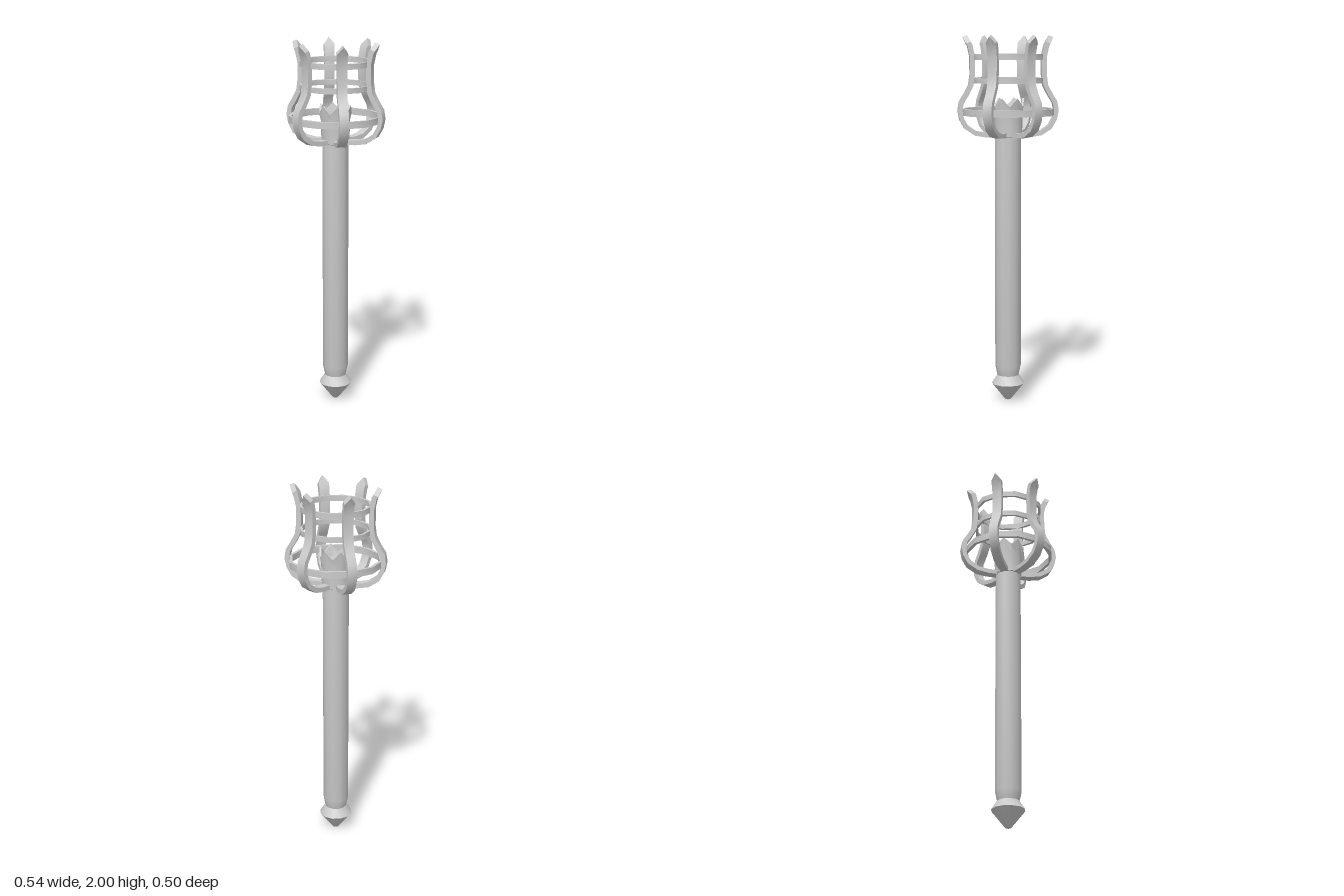
import * as THREE from 'three';
import { toCreasedNormals } from 'three/addons/utils/BufferGeometryUtils.js';

const material = new THREE.MeshStandardMaterial({ color: 0xcccccc });
const SIDES = 12;

function addMesh(parent, name, geometry, crease = 0.6) {
  const mesh = new THREE.Mesh(toCreasedNormals(geometry, crease), material);
  mesh.name = name;
  parent.add(mesh);
  return mesh;
}

function lathe(points) {
  return new THREE.LatheGeometry(points.map(([r, y]) => new THREE.Vector2(r, y)), SIDES);
}

// Flat band with a rectangular section
function band(radius, thickness, y, height) {
  const a = radius - thickness, b = y - height / 2, t = y + height / 2;
  return lathe([[a, b], [radius, b], [radius, t], [a, t], [a, b]]);
}

// Cup on top of the shaft, its rim cut into six points
function cupGeometry() {
  const rim = 1.665, valley = 1.62;
  const geometry = lathe([[0.068, 1.455], [0.076, 1.46], [0.079, 1.58], [0.088, rim],
    [0.077, rim], [0.068, 1.6], [0, 1.6]]);
  const p = geometry.attributes.position;
  for (let i = 0; i < p.count; i++) {
    if (p.getY(i) < rim - 0.001) continue;
    const step = Math.round(Math.atan2(p.getZ(i), p.getX(i)) / (Math.PI / 6));
    if (step % 2 !== 0) p.setY(i, valley);
  }
  return geometry;
}

// Curved prong: [outer radius, outer y, inner radius, inner y, half width]
const PRONG = [
  [0.06, 1.455, 0.06, 1.48, 0.021],
  [0.12, 1.456, 0.12, 1.481, 0.023],
  [0.18, 1.466, 0.172, 1.49, 0.025],
  [0.235, 1.502, 0.217, 1.52, 0.025],
  [0.262, 1.55, 0.239, 1.558, 0.025],
  [0.272, 1.6, 0.247, 1.6, 0.025],
  [0.264, 1.648, 0.24, 1.638, 0.025],
  [0.238, 1.69, 0.214, 1.68, 0.025],
  [0.214, 1.735, 0.188, 1.73, 0.026],
  [0.206, 1.79, 0.18, 1.79, 0.026],
  [0.206, 1.885, 0.18, 1.89, 0.027],
  [0.218, 1.94, 0.193, 1.95, 0.028],
  [0.226, 1.955, 0.201, 1.965, 0.028],
];

function prongGeometry() {
  const n = PRONG.length - 1;
  const geometry = new THREE.BoxGeometry(1, 1, 1, 1, n, 2);
  const p = geometry.attributes.position;
  for (let i = 0; i < p.count; i++) {
    const row = Math.round((p.getY(i) + 0.5) * n);
    const [ro, yo, ri, yi, half] = PRONG[row];
    const outer = p.getX(i) > 0;
    const side = p.getZ(i) * 2;
    // The middle of the last row rises into a point
    const tip = row === n && Math.abs(side) < 0.1;
    p.setXYZ(i, (outer ? ro : ri) + (tip ? 0.018 : 0),
      tip ? (outer ? 1.99 : 2) : (outer ? yo : yi), side * half);
  }
  return geometry;
}

export function createModel() {
  const torch = new THREE.Group();
  torch.name = 'torch';

  // Handle with its pointed pommel
  addMesh(torch, 'pommel', lathe([[0, 0], [0.016, 0.002], [0.09, 0.095], [0.06, 0.142]]));
  addMesh(torch, 'shaft', lathe([[0.058, 0.14], [0.062, 0.155], [0.071, 0.195],
    [0.071, 1.46], [0, 1.46]]));
  addMesh(torch, 'cup', cupGeometry());

  // Basket of six prongs held by three bands
  const basket = new THREE.Group();
  basket.name = 'basket';
  torch.add(basket);
  const prong = prongGeometry();
  for (let i = 0; i < 6; i++) {
    addMesh(basket, 'prong', prong).rotation.y = i * Math.PI / 3;
  }
  addMesh(basket, 'lowerBand', band(0.252, 0.017, 1.592, 0.036));
  addMesh(basket, 'middleBand', band(0.192, 0.014, 1.76, 0.028));
  addMesh(basket, 'upperBand', band(0.192, 0.014, 1.885, 0.03));

  return torch;
}
